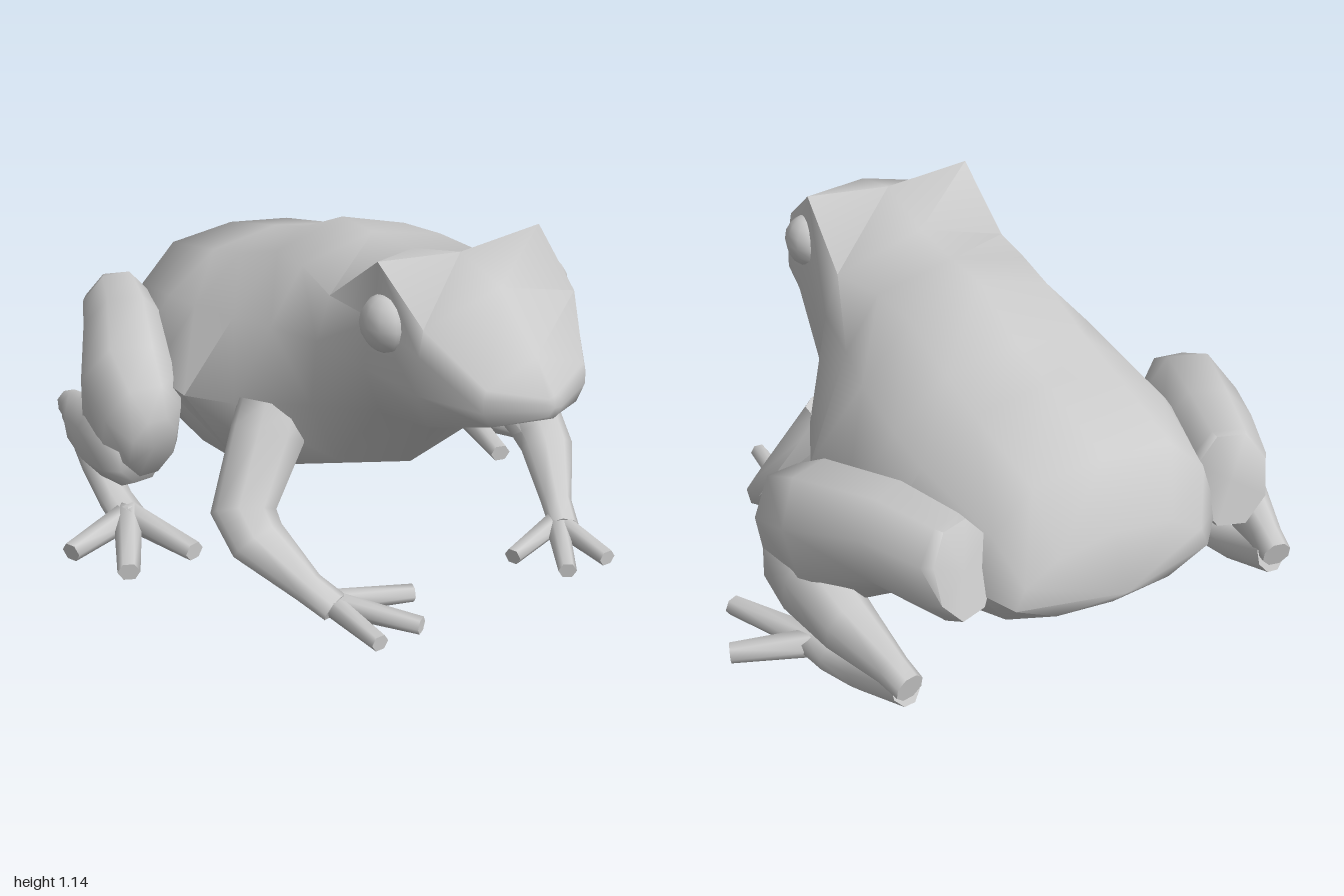
import * as THREE from 'three';
import { toCreasedNormals } from 'three/addons/utils/BufferGeometryUtils.js';

const material = new THREE.MeshStandardMaterial({ color: 0xcccccc });

// Skin a closed surface over rings of points, with a centre point on each end
function loft(rings, startTip, endTip) {
  const n = rings[0].length;
  const last = rings.length - 1;
  const points = [...rings.flat(), startTip, endTip];
  const index = [];
  const s = n * rings.length;
  for (let j = 0; j < n; j++) {
    const k = (j + 1) % n;
    for (let i = 0; i < last; i++) {
      const a = i * n + j, b = i * n + k;
      index.push(a, a + n, b, b, a + n, b + n);
    }
    index.push(s, j, k, s + 1, last * n + k, last * n + j);
  }
  const geo = new THREE.BufferGeometry().setFromPoints(points);
  geo.setIndex(index);
  return toCreasedNormals(geo, 1.25);
}

function addMesh(parent, name, geo) {
  const mesh = new THREE.Mesh(geo, material);
  mesh.name = name;
  parent.add(mesh);
  return mesh;
}

const UP = new THREE.Vector3(0, 1, 0);
const UP_FORWARD = new THREE.Vector3(0, 1, 1);

// Limb through stations [x, y, z, half width, half height], mirrored by side
function limb(parent, name, side, stations, sides = 8, reference = UP) {
  const c = stations.map(([x, y, z]) => new THREE.Vector3(x * side, y, z));
  const flat = 1 / Math.cos(Math.PI / sides);
  const rings = stations.map(([, , , w, h], i) => {
    const dir = new THREE.Vector3();
    if (i > 0) dir.add(c[i].clone().sub(c[i - 1]).normalize());
    if (i < c.length - 1) dir.add(c[i + 1].clone().sub(c[i]).normalize());
    dir.normalize();
    const across = reference.clone().cross(dir).normalize();
    const up = dir.clone().cross(across);
    return Array.from({ length: sides }, (_, j) => {
      const a = ((j + 0.5) / sides) * Math.PI * 2;
      return c[i].clone()
        .addScaledVector(across, Math.sin(a) * w * flat)
        .addScaledVector(up, Math.cos(a) * h * flat);
    });
  });
  return addMesh(parent, name, loft(rings, c[0], c[c.length - 1]));
}

// Half cross-sections from back to snout: z, then x,y from spine to belly
const bodySections = [
  [-0.93, [0, 0.61], [0.2, 0.58], [0.31, 0.51], [0.34, 0.44], [0.2, 0.37], [0, 0.35]],
  [-0.84, [0, 0.82], [0.24, 0.79], [0.37, 0.66], [0.43, 0.49], [0.32, 0.34], [0, 0.28]],
  [-0.52, [0, 0.9], [0.25, 0.86], [0.43, 0.73], [0.57, 0.54], [0.41, 0.26], [0, 0.11]],
  [-0.34, [0, 0.945], [0.25, 0.9], [0.43, 0.75], [0.6, 0.55], [0.42, 0.25], [0, 0.11]],
  [-0.1, [0, 1.05], [0.25, 0.98], [0.42, 0.79], [0.61, 0.56], [0.42, 0.27], [0, 0.18]],
  [0.08, [0, 1.05], [0.27, 0.99], [0.39, 0.81], [0.53, 0.58], [0.37, 0.32], [0, 0.24]],
  [0.3, [0, 1.06], [0.31, 0.97], [0.36, 0.83], [0.38, 0.62], [0.28, 0.4], [0, 0.32]],
  [0.54, [0, 1.12], [0.3, 1.15], [0.31, 0.97], [0.35, 0.83], [0.29, 0.67], [0, 0.63]],
  [0.74, [0, 1.07], [0.28, 1.0], [0.295, 0.92], [0.3, 0.8], [0.26, 0.69], [0, 0.66]],
  [0.91, [0, 0.91], [0.18, 0.85], [0.19, 0.82], [0.19, 0.78], [0.16, 0.73], [0, 0.71]],
  [0.995, [0, 0.82], [0.02, 0.815], [0.03, 0.8], [0.03, 0.78], [0.02, 0.76], [0, 0.75]],
];

export function createModel() {
  const frog = new THREE.Group();
  frog.name = 'frog';

  // Body and head in one skin
  const rings = bodySections.map(([z, ...half]) => {
    const mirrored = half.slice(1, -1).reverse().map(([x, y]) => [-x, y]);
    return [...half, ...mirrored].map(([x, y]) => new THREE.Vector3(x, y, z));
  });
  addMesh(frog, 'body', loft(rings, new THREE.Vector3(0, 0.43, -1), new THREE.Vector3(0, 0.785, 1)));

  for (const side of [1, -1]) {
    const label = side > 0 ? 'left' : 'right';

    // Eye
    const eye = addMesh(frog, label + 'Eye', new THREE.SphereGeometry(0.09, 10, 8));
    eye.scale.x = 0.85;
    eye.position.set(0.292 * side, 0.97, 0.575);

    // Front leg with three toes
    const front = new THREE.Group();
    front.name = label + 'FrontLeg';
    frog.add(front);
    limb(front, 'arm', side, [
      [0.42, 0.57, 0.14, 0.11, 0.065],
      [0.46, 0.49, 0.165, 0.115, 0.068],
      [0.59, 0.28, 0.225, 0.1, 0.07],
      [0.585, 0.21, 0.3, 0.09, 0.06],
      [0.5, 0.09, 0.46, 0.05, 0.043],
      [0.46, 0.05, 0.55, 0.05, 0.035],
    ], 8, UP_FORWARD);
    for (const [x, z] of [[0.45, 0.78], [0.29, 0.77], [0.2, 0.6]]) {
      limb(front, 'frontToe', side, [
        [0.46, 0.05, 0.51, 0.035, 0.033],
        [x, 0.04, z, 0.026, 0.024],
      ], 6);
    }

    // Hind leg: thigh, folded shank, foot and toes
    const hind = new THREE.Group();
    hind.name = label + 'HindLeg';
    frog.add(hind);
    limb(hind, 'thigh', side, [
      [0.47, 0.59, -0.855, 0.11, 0.145],
      [0.485, 0.577, -0.81, 0.125, 0.155],
      [0.56, 0.575, -0.6, 0.145, 0.16],
      [0.67, 0.48, -0.36, 0.165, 0.215],
      [0.715, 0.42, -0.21, 0.13, 0.19],
      [0.715, 0.39, -0.13, 0.08, 0.12],
    ]);
    limb(hind, 'shank', side, [
      [0.735, 0.35, -0.18, 0.08, 0.09],
      [0.74, 0.345, -0.25, 0.107, 0.12],
      [0.745, 0.33, -0.4, 0.105, 0.13],
      [0.72, 0.295, -0.6, 0.085, 0.09],
      [0.68, 0.265, -0.8, 0.05, 0.055],
      [0.665, 0.25, -0.88, 0.045, 0.045],
    ]);
    limb(hind, 'foot', side, [
      [0.665, 0.23, -0.85, 0.045, 0.055],
      [0.69, 0.12, -0.62, 0.055, 0.05],
      [0.71, 0.06, -0.45, 0.055, 0.042],
      [0.73, 0.05, -0.3, 0.06, 0.035],
    ]);
    for (const [x, z] of [[0.98, -0.24], [0.88, -0.02], [0.64, -0.02]]) {
      limb(hind, 'hindToe', side, [
        [0.72, 0.05, -0.34, 0.042, 0.042],
        [x, 0.035, z, 0.032, 0.028],
      ], 6);
    }
  }
  return frog;
}
